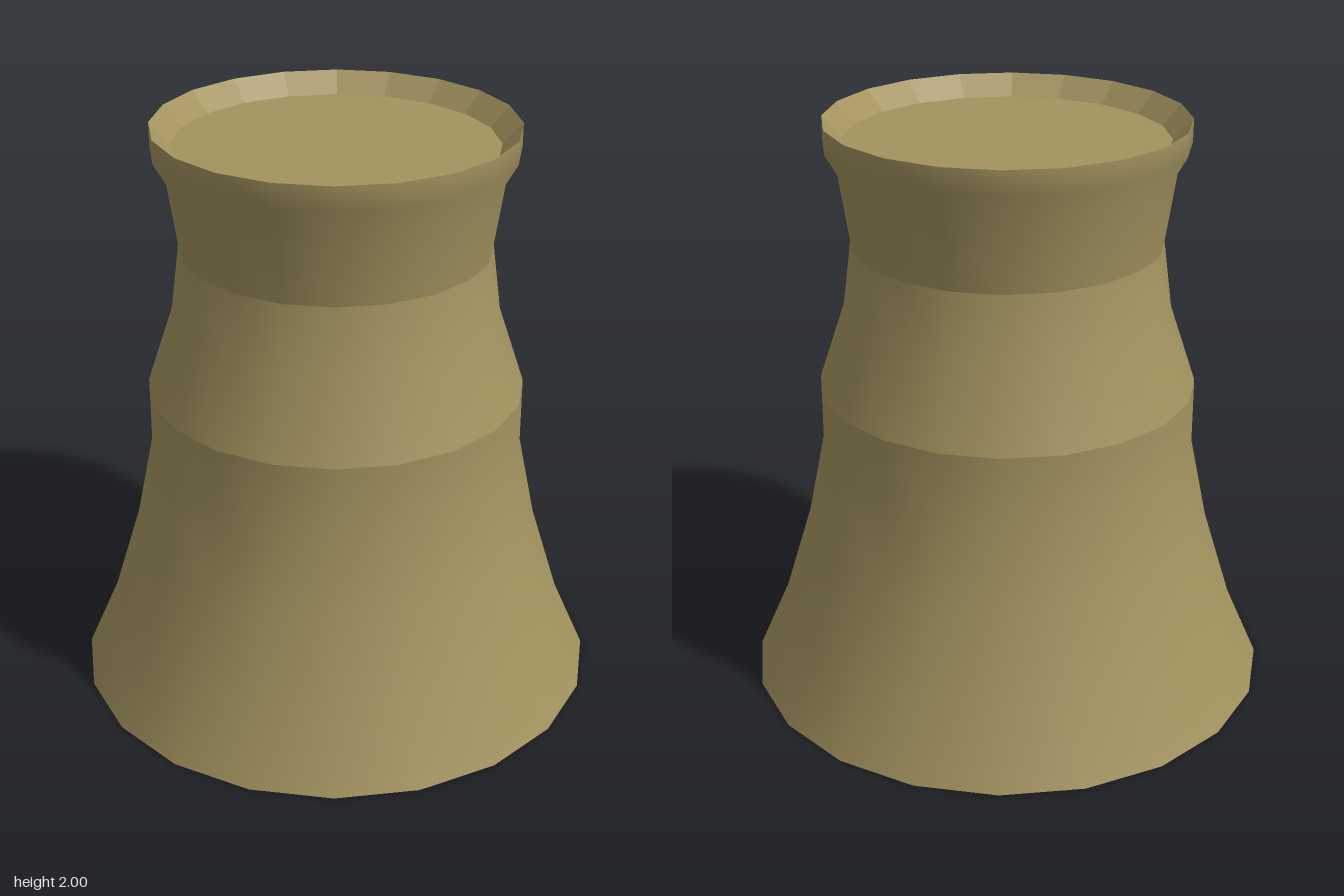
import * as THREE from 'three';

const SIDES = 20;

export function createModel() {
  const group = new THREE.Group();
  group.name = 'coolingTower';
  const smooth = new THREE.MeshStandardMaterial({ color: 0xa3935f });
  const faceted = new THREE.MeshStandardMaterial({ color: 0xa3935f, flatShading: true });

  // Turn a [radius, height] profile around the vertical axis
  const turn = (name, profile, material = smooth) => {
    const points = profile.map(([r, y]) => new THREE.Vector2(r, y));
    const mesh = new THREE.Mesh(new THREE.LatheGeometry(points, SIDES), material);
    mesh.name = name;
    group.add(mesh);
  };

  // Outer wall in three bands, each smooth with a crease between them
  turn('flaredBase', [[0.91, 0], [0.8, 0.25], [0.705, 0.56], [0.645, 0.85], [0.645, 1.08]]);
  turn('shoulder', [[0.645, 1.08], [0.555, 1.35], [0.525, 1.58]]);
  turn('neck', [[0.525, 1.58], [0.565, 1.85], [0.605, 1.92], [0.605, 2]]);

  // Sloped inside of the rim, and the flat discs closing both ends
  turn('innerRim', [[0.605, 2], [0.54, 1.93]], faceted);
  turn('topPlate', [[0.54, 1.93], [0, 1.93]], faceted);
  turn('bottomPlate', [[0, 0], [0.91, 0]], faceted);

  return group;
}
